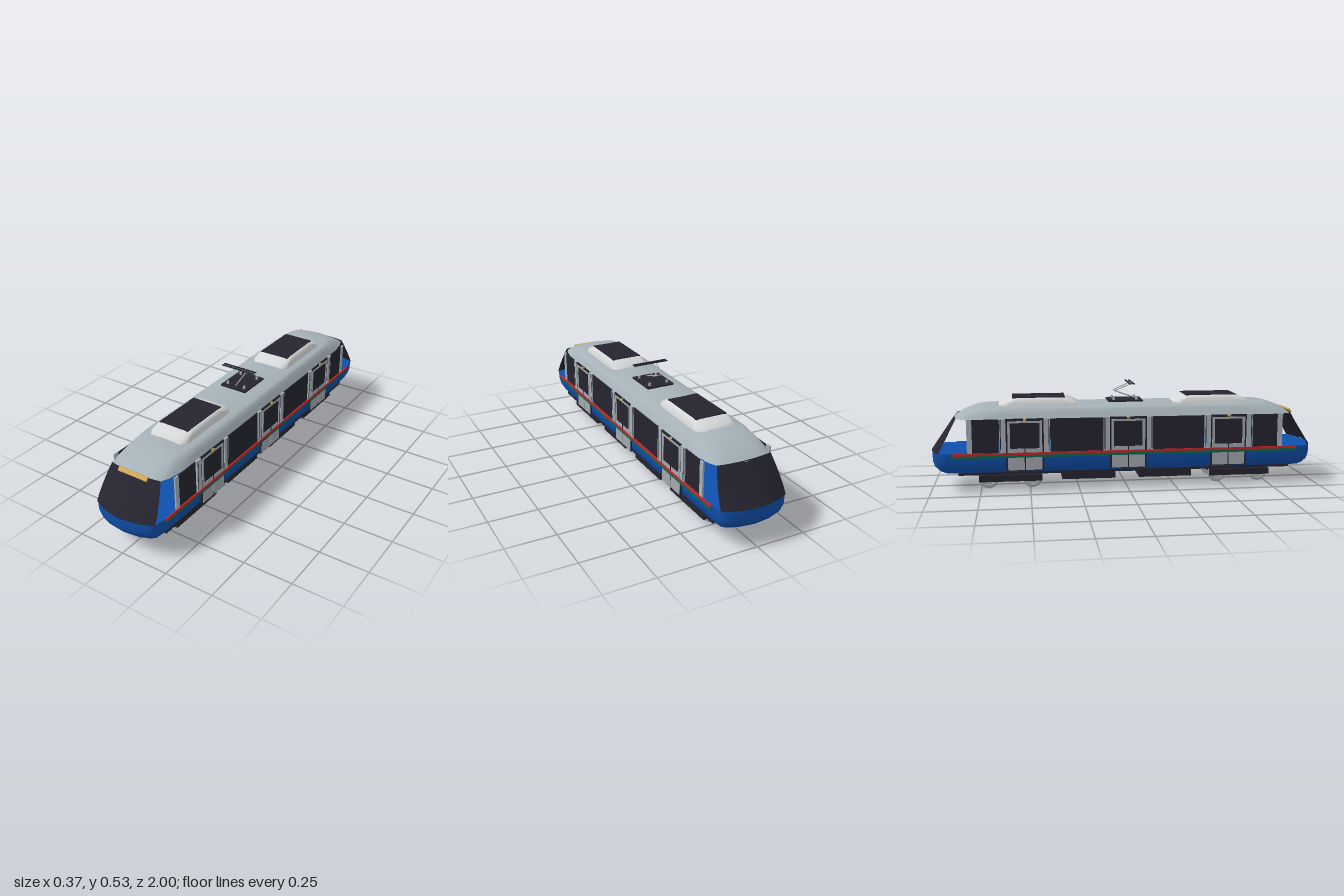
import * as THREE from 'three';

const mat = (name, color, side = THREE.FrontSide) => {
  const m = new THREE.MeshStandardMaterial({ color, side });
  m.name = name;
  return m;
};

export function createModel() {
  const blue = mat('blue paint', 0x0f50ad);
  const dark = mat('dark glass and chassis', 0x252430, THREE.DoubleSide);
  const grey = mat('roof grey', 0xa6b2b8);
  const white = mat('housing white', 0xd6d7d8);
  const steel = mat('steel', 0xa3a9ae);
  const gold = mat('gold', 0xd0ab5c);
  const red = mat('red stripe', 0xc8242b);
  const green = mat('green stripe', 0x0d6a4c);

  const root = new THREE.Group();
  root.name = 'tram';
  const add = (name, geo, m, x = 0, y = 0, z = 0, parent = root) => {
    const mesh = new THREE.Mesh(geo, m);
    mesh.name = name;
    mesh.position.set(x, y, z);
    parent.add(mesh);
    return mesh;
  };
  const box = (name, m, w, h, d, x, y, z, parent) =>
    add(name, new THREE.BoxGeometry(w, h, d), m, x, y, z, parent);
  const rod = (name, m, a, b, r, parent) => {
    const path = new THREE.LineCurve3(new THREE.Vector3(...a), new THREE.Vector3(...b));
    return add(name, new THREE.TubeGeometry(path, 1, r, 8), m, 0, 0, 0, parent);
  };

  // Solid from stacked outlines. corner: [fraction of half width, inset from the end]
  const stack = (corner, layers) => {
    const quarter = corner.slice(0, -1);
    const back = [...quarter].reverse();
    const ring = (w, l) => [
      ...quarter.map(([f, i]) => [w * f, l - i]), [0, l],
      ...back.map(([f, i]) => [-w * f, l - i]),
      ...quarter.map(([f, i]) => [-w * f, i - l]), [0, -l],
      ...back.map(([f, i]) => [w * f, i - l]),
    ];
    const pos = [], idx = [];
    const n = ring(1, 1).length;
    const put = ([y, w, l]) => ring(w, l).forEach(([x, z]) => pos.push(x, y, z));
    layers.forEach(put);
    for (let k = 0; k < layers.length - 1; k++) {
      for (let i = 0; i < n; i++) {
        const a = k * n + i, b = k * n + (i + 1) % n;
        idx.push(a, a + n, b, b, a + n, b + n);
      }
    }
    // End caps have their own vertices so their edges stay sharp
    [layers[0], layers[layers.length - 1]].forEach((layer, top) => {
      const s = pos.length / 3;
      put(layer);
      pos.push(0, layer[0], 0);
      for (let i = 0; i < n; i++) {
        const a = s + i, b = s + (i + 1) % n;
        idx.push(s + n, top ? b : a, top ? a : b);
      }
    });
    const g = new THREE.BufferGeometry();
    g.setAttribute('position', new THREE.Float32BufferAttribute(pos, 3));
    g.setIndex(idx);
    g.computeVertexNormals();
    return g;
  };

  // Lower body and roof shell
  add('lowerBody', stack(
    [[1, 0.15], [0.99, 0.09], [0.95, 0.045], [0.8, 0.028], [0.5, 0.01], [0, 0]],
    [[0.095, 0.145, 0.955], [0.105, 0.154, 0.975], [0.125, 0.165, 0.992], [0.155, 0.172, 1], [0.2, 0.175, 1]]), blue);
  add('roof', stack(
    [[1, 0.2], [0.97, 0.13], [0.9, 0.065], [0.79, 0.025], [0.5, 0.008], [0, 0]],
    [[0.37, 0.172, 0.885], [0.38, 0.166, 0.868], [0.395, 0.158, 0.845], [0.417, 0.145, 0.79],
      [0.422, 0.13, 0.77], [0.429, 0.095, 0.74], [0.434, 0.055, 0.71], [0.437, 0.015, 0.67]]), grey);

  // Raked, bowed windscreens at both ends
  const screen = new THREE.PlaneGeometry(2, 1, 16, 8);
  const p = screen.attributes.position;
  for (let i = 0; i < p.count; i++) {
    const u = p.getX(i), t = p.getY(i) + 0.5;
    const sag = 0.045 - 0.03 * t;
    p.setXYZ(i, u * (0.17 - 0.03 * t ** 1.6), 0.2 + 0.175 * t, 1.001 - 0.121 * t - sag * u * u);
  }
  screen.computeVertexNormals();
  add('frontWindscreen', screen, dark);
  add('rearWindscreen', screen, dark).rotation.y = Math.PI;
  box('destinationSign', gold, 0.163, 0.022, 0.009, 0, 0.374, 0.885).rotation.x = -0.6;

  // Side walls, mirrored
  for (const s of [1, -1]) {
    const wall = new THREE.Group();
    wall.name = s > 0 ? 'leftWall' : 'rightWall';
    root.add(wall);
    const panel = (name, m, x, t, y0, y1, z, len) =>
      box(name, m, t, y1 - y0, len, s * x, (y0 + y1) / 2, z, wall);

    // Windows between the doors and at the ends
    for (const [z, len] of [[0.722, 0.13], [0.257, 0.276], [-0.257, 0.276], [-0.722, 0.13]]) {
      panel('sideWindow', dark, 0.173, 0.005, 0.2, 0.372, z, len);
    }
    for (const z of [0.8, -0.8]) panel('endPost', grey, 0.175, 0.008, 0.2, 0.374, z, 0.026);

    // Double doors with posts
    for (const z of [0.525, 0, -0.525]) {
      panel('doorSurround', dark, 0.174, 0.006, 0.108, 0.374, z, 0.19);
      for (const e of [1, -1]) {
        panel('doorPost', grey, 0.176, 0.01, 0.2, 0.374, z + e * 0.111, 0.032);
        panel('postGroove', dark, 0.1805, 0.002, 0.21, 0.37, z + e * 0.121, 0.004);
        panel('doorLowerPanel', steel, 0.1775, 0.004, 0.112, 0.2, z + e * 0.0445, 0.083);
        panel('doorFrameSide', steel, 0.1775, 0.004, 0.2, 0.362, z + e * 0.08, 0.013);
      }
      panel('doorFrameTop', steel, 0.1775, 0.004, 0.352, 0.362, z, 0.15);
      panel('doorFrameBottom', steel, 0.1775, 0.004, 0.2, 0.222, z, 0.15);
      panel('doorSeam', dark, 0.179, 0.003, 0.2, 0.225, z, 0.006);
      panel('doorLamp', gold, 0.179, 0.008, 0.364, 0.374, z, 0.016);
    }
    // Painted stripes
    panel('redStripe', red, 0.179, 0.007, 0.19, 0.202, 0, 1.78);
    panel('greenStripe', green, 0.178, 0.007, 0.177, 0.19, 0, 1.78);
  }

  // Roof housings with dark covers
  for (const z of [0.45, -0.45]) {
    add('roofHousing', stack([[1, 0.05], [0.97, 0.035], [0.78, 0.004], [0, 0]],
      [[0.42, 0.108, 0.207], [0.437, 0.105, 0.205], [0.452, 0.099, 0.175], [0.461, 0.094, 0.155], [0.466, 0.085, 0.145]]),
    white, 0, 0, z);
    box('housingCover', dark, 0.164, 0.005, 0.27, 0, 0.4665, z);
  }

  // Current collector
  const collector = new THREE.Group();
  collector.name = 'currentCollector';
  root.add(collector);
  box('collectorBase', dark, 0.15, 0.008, 0.18, 0, 0.44, 0, collector);
  for (const x of [-0.05, 0.05]) {
    for (const z of [-0.06, 0.06]) {
      add('insulator', new THREE.CylinderGeometry(0.006, 0.008, 0.014, 10), steel, x, 0.45, z, collector);
    }
  }
  rod('lowerArm', steel, [0, 0.446, 0.065], [0, 0.488, -0.055], 0.003, collector);
  rod('elbow', steel, [-0.03, 0.488, -0.055], [0.03, 0.488, -0.055], 0.0025, collector);
  for (const s of [1, -1]) {
    rod('upperArm', steel, [s * 0.027, 0.488, -0.055], [s * 0.035, 0.527, 0.035], 0.0025, collector);
  }
  for (const z of [0.022, 0.04]) box('contactBar', dark, 0.194, 0.004, 0.009, 0, 0.53, z, collector);

  // Underframe and equipment boxes
  box('underframe', dark, 0.3, 0.012, 1.72, 0, 0.091, 0);
  for (const z of [0.2, -0.2]) box('equipmentBox', dark, 0.27, 0.045, 0.275, 0, 0.07, z);

  // Bogies with flanged wheels
  const profile = [[0, 0], [0.05, 0], [0.05, 0.003], [0.043, 0.005], [0.042, 0.017], [0.03, 0.017], [0.028, 0.013], [0, 0.013]]
    .map(([r, h]) => new THREE.Vector2(r, h));
  const wheel = new THREE.LatheGeometry(profile, 28).toNonIndexed();
  wheel.computeVertexNormals();
  for (const z of [0.6, -0.6]) {
    const bogie = new THREE.Group();
    bogie.name = 'bogie';
    bogie.position.z = z;
    root.add(bogie);
    box('bogieFrame', dark, 0.25, 0.026, 0.3, 0, 0.062, 0, bogie);
    box('bogiePivot', dark, 0.1, 0.02, 0.1, 0, 0.08, 0, bogie);
    for (const s of [1, -1]) {
      box('bogieSideBeam', dark, 0.018, 0.032, 0.32, s * 0.126, 0.06, 0, bogie);
      for (const a of [0.112, -0.112]) {
        add('wheel', wheel, steel, s * 0.084, 0.05, a, bogie).rotation.z = -s * Math.PI / 2;
      }
    }
  }
  return root;
}
